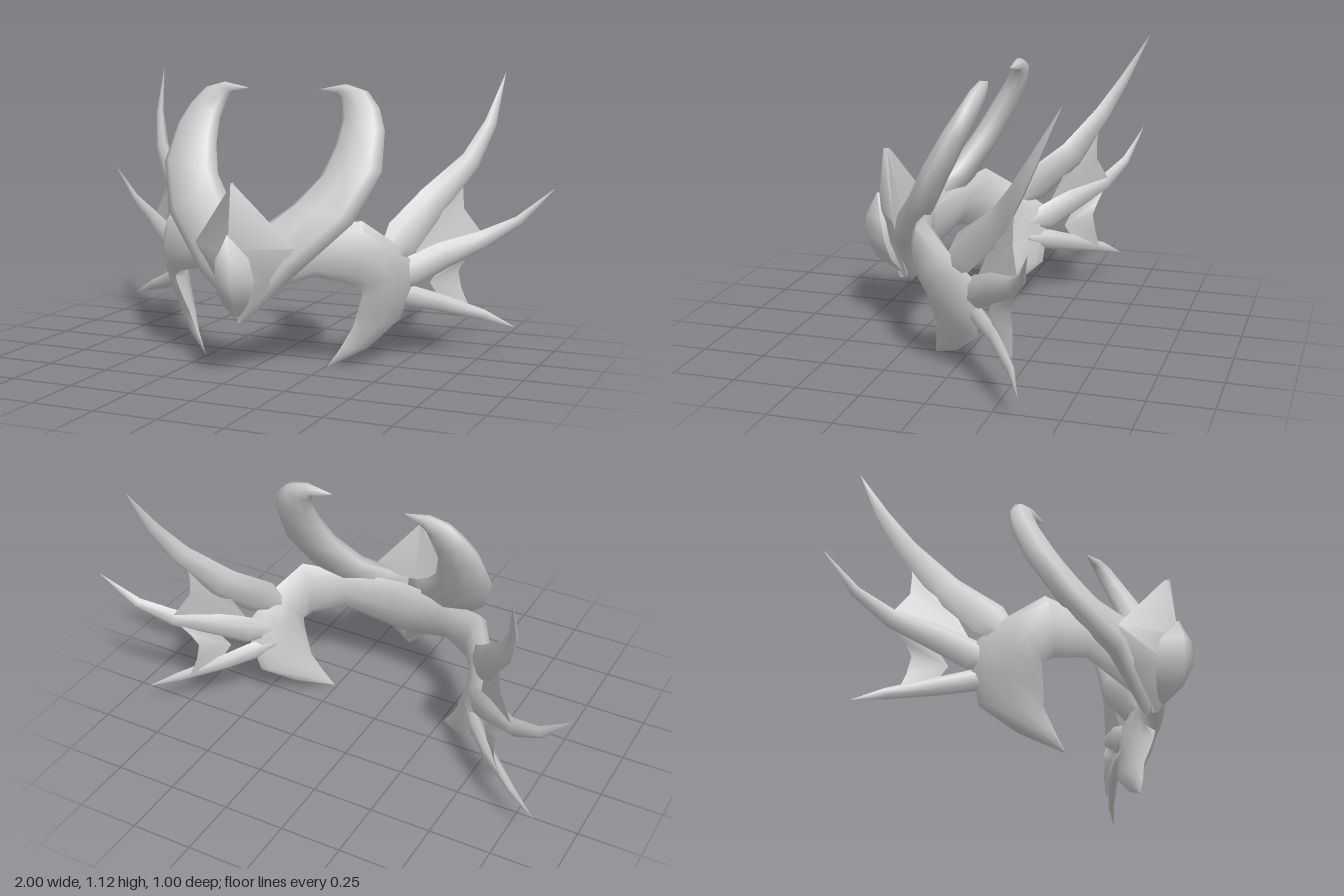
import * as THREE from 'three';
import { toCreasedNormals } from 'three/addons/utils/BufferGeometryUtils.js';

const V = (x, y, z) => new THREE.Vector3(x, y, z);
const mirror = (v) => V(-v.x, v.y, v.z);
const material = new THREE.MeshStandardMaterial({ color: 0xcccccc });
const thinMaterial = new THREE.MeshStandardMaterial({ color: 0xcccccc, side: THREE.DoubleSide });

// Closed skin over a list of point rings, turned to face outwards
function skin(name, rings, crease) {
  const n = rings[0].length, pts = rings.flat(), faces = [];
  const tri = (a, b, c) => {
    const area = pts[b].clone().sub(pts[a]).cross(pts[c].clone().sub(pts[a])).length();
    if (area > 1e-7) faces.push([a, b, c]);
  };
  for (let i = 0; i < rings.length - 1; i++) {
    for (let j = 0; j < n; j++) {
      const a = i * n + j, b = i * n + (j + 1) % n;
      tri(a, b, b + n);
      tri(a, b + n, a + n);
    }
  }
  const last = (rings.length - 1) * n;
  for (let j = 1; j < n - 1; j++) {
    tri(0, j + 1, j);
    tri(last, last + j, last + j + 1);
  }
  let volume = 0;
  for (const [a, b, c] of faces) volume += pts[a].dot(pts[b].clone().cross(pts[c]));
  if (volume < 0) faces.forEach((f) => f.reverse());
  const geo = new THREE.BufferGeometry().setFromPoints(pts);
  geo.setIndex(faces.flat());
  const mesh = new THREE.Mesh(toCreasedNormals(geo, crease), material);
  mesh.name = name;
  return mesh;
}

// Elliptical ring between two edge points, n is the half thickness vector
function ring(a, b, n, sides = 8) {
  const mid = a.clone().add(b).multiplyScalar(0.5);
  const half = b.clone().sub(a).multiplyScalar(0.5);
  return Array.from({ length: sides }, (_, i) => {
    const t = (i / sides) * Math.PI * 2;
    return mid.clone().addScaledVector(half, Math.cos(t)).addScaledVector(n, Math.sin(t));
  });
}

// Headband: upper edge, lower edge and half thickness, from the middle to the cheek point
function headband() {
  const half = [
    [V(0, 0.545, 0.235), V(0, 0.29, 0.26), 0.035],
    [V(0.22, 0.565, 0.175), V(0.24, 0.37, 0.2), 0.04],
    [V(0.4, 0.58, 0.12), V(0.37, 0.335, 0.14), 0.045],
    [V(0.475, 0.495, 0.01), V(0.4, 0.31, 0.115), 0.045],
    [V(0.515, 0.41, -0.1), V(0.395, 0.28, 0.11), 0.045],
    [V(0.515, 0.29, -0.122), V(0.375, 0.22, 0.1), 0.04],
    [V(0.475, 0.165, -0.113), V(0.352, 0.16, 0.087), 0.03],
    [V(0.385, 0.065, 0), V(0.31, 0.08, 0.105), 0.018],
    [V(0.26, 0, 0.125), V(0.26, 0, 0.125), 0],
  ];
  const other = half.slice(1).reverse().map(([a, b, t]) => [mirror(a), mirror(b), t]);
  return skin('headband', [...other, ...half].map(([a, b, t]) => {
    const out = V((a.x + b.x) / 2, 0, (a.z + b.z) / 2);
    out.z += 0.3;
    return ring(a, b, out.normalize().multiplyScalar(t));
  }), 0.9);
}

// Horn: inner point, outer point and half thickness, sweeping up and back from the brow
function horn(name, s) {
  const stations = [
    [V(0, 0.53, 0.3), V(0, 0.19, 0.317), 0.045],
    [V(0.065, 0.57, 0.25), V(0.2, 0.385, 0.3), 0.055],
    [V(0.13, 0.63, 0.165), V(0.385, 0.575, 0.186), 0.055],
    [V(0.215, 0.73, 0.1), V(0.462, 0.765, 0.08), 0.053],
    [V(0.252, 0.84, 0.038), V(0.443, 0.915, 0), 0.048],
    [V(0.262, 0.94, -0.015), V(0.405, 0.995, -0.042), 0.04],
    [V(0.243, 1.02, -0.052), V(0.35, 1.055, -0.065), 0.032],
    [V(0.225, 1.04, -0.058), V(0.265, 1.08, -0.07), 0.022],
    [V(0.15, 1.06, -0.055), V(0.15, 1.06, -0.055), 0],
  ];
  return skin(name, stations.map(([a, b, t]) => {
    const r = ring(a, b, V(0, 0.49 * t, 0.87 * t));
    return s < 0 ? r.map(mirror) : r;
  }), 1.9);
}

// Ridged plate: rows of y, half width, side z, front z, back z; f is the flat front share
function plate(name, rows, f) {
  return skin(name, rows.map(([y, w, zs, zf, zb]) => [
    V(-w, y, zs), V(-w * f, y, zf), V(w * f, y, zf), V(w, y, zs), V(0, y, zb),
  ]), 1.25);
}

// Fin spike along a centre line with half widths, flattened across the fin
function spike(name, path, widths, s) {
  const normal = V(0.62, 0, 0.78);
  return skin(name, path.map((p, i) => {
    const tangent = path[Math.min(i + 1, path.length - 1)].clone().sub(path[Math.max(i - 1, 0)]);
    const side = tangent.cross(normal).normalize().multiplyScalar(widths[i]);
    const n = normal.clone().multiplyScalar(Math.min(widths[i] * 0.6, 0.03));
    const r = ring(p.clone().sub(side), p.clone().add(side), n, 6);
    return s < 0 ? r.map(mirror) : r;
  }), 1.1);
}

// Web: thin fan from the hub to a scalloped rim
function web(name, points, s) {
  const geo = new THREE.BufferGeometry().setFromPoints(s < 0 ? points.map(mirror) : points);
  const index = [];
  for (let i = 1; i < points.length - 1; i++) index.push(0, i, i + 1);
  geo.setIndex(index);
  geo.computeVertexNormals();
  const mesh = new THREE.Mesh(geo, thinMaterial);
  mesh.name = name;
  return mesh;
}

function fin(name, s) {
  const group = new THREE.Group();
  group.name = name;
  group.add(
    spike('upperSpike', [V(0.445, 0.41, 0.02), V(0.495, 0.495, -0.065), V(0.57, 0.625, -0.21),
      V(0.69, 0.78, -0.313), V(0.745, 0.925, -0.395), V(0.775, 1.12, -0.497)],
    [0.03, 0.08, 0.066, 0.042, 0.026, 0], s),
    spike('middleSpike', [V(0.45, 0.325, -0.04), V(0.515, 0.355, -0.12), V(0.61, 0.41, -0.21),
      V(0.74, 0.465, -0.32), V(0.87, 0.54, -0.387), V(1, 0.672, -0.442)],
    [0.03, 0.062, 0.055, 0.038, 0.022, 0], s),
    spike('lowerSpike', [V(0.44, 0.275, -0.05), V(0.505, 0.258, -0.125), V(0.6, 0.222, -0.215),
      V(0.75, 0.165, -0.318), V(0.868, 0.113, -0.376)],
    [0.02, 0.042, 0.035, 0.022, 0], s),
    web('upperWeb', [V(0.52, 0.4, -0.12), V(0.58, 0.62, -0.22), V(0.67, 0.745, -0.31),
      V(0.665, 0.67, -0.3), V(0.67, 0.59, -0.3), V(0.735, 0.49, -0.335), V(0.62, 0.42, -0.22)], s),
    web('lowerWeb', [V(0.57, 0.305, -0.185), V(0.63, 0.41, -0.23), V(0.74, 0.46, -0.33),
      V(0.68, 0.39, -0.305), V(0.655, 0.34, -0.29), V(0.665, 0.27, -0.3), V(0.7, 0.185, -0.31),
      V(0.61, 0.225, -0.22)], s),
  );
  return group;
}

export function createModel() {
  const model = new THREE.Group();
  model.name = 'hornedHeadpiece';
  model.add(headband());
  model.add(plate('browPlate', [
    [0.737, 0, 0.412, 0.428, 0.4],
    [0.49, 0.205, 0.315, 0.455, 0.35],
    [0.36, 0.12, 0.325, 0.435, 0.33],
    [0.2, 0, 0.345, 0.365, 0.335],
  ], 0));
  model.add(plate('browJewel', [
    [0.55, 0, 0.455, 0.46, 0.42],
    [0.46, 0.07, 0.42, 0.498, 0.38],
    [0.37, 0.082, 0.4, 0.5, 0.37],
    [0.285, 0.05, 0.385, 0.457, 0.35],
    [0.225, 0, 0.365, 0.388, 0.35],
  ], 0.4));
  for (const [label, s] of [['left', 1], ['right', -1]]) {
    model.add(horn(label + 'Horn', s), fin(label + 'Fin', s));
  }
  return model;
}
